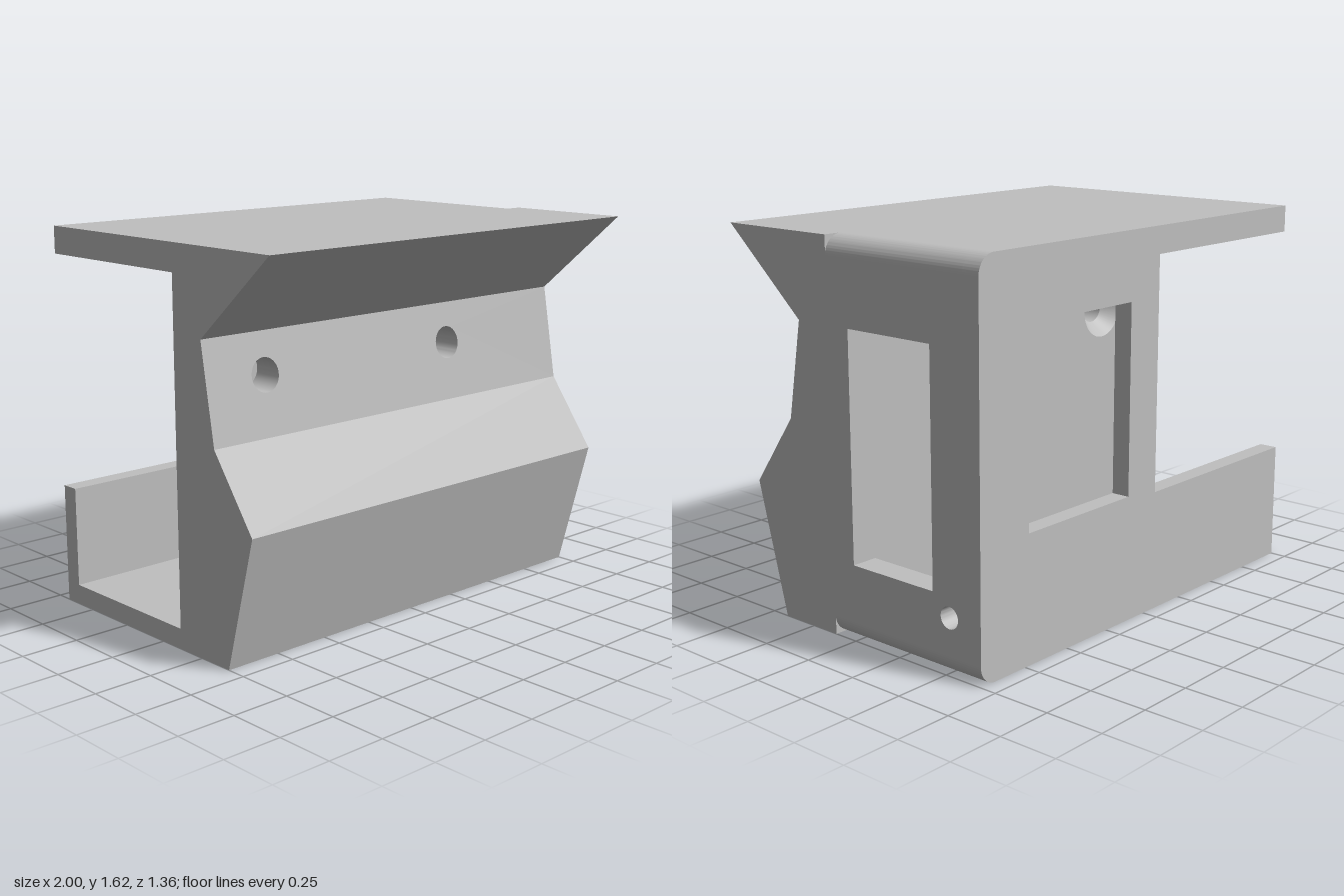
import * as THREE from 'three';
import { toCreasedNormals } from 'three/addons/utils/BufferGeometryUtils.js';

const BACK = -0.68, INNER_BACK = -0.6, INNER_FRONT = 0.115, TOP = 1.62;
const FLOOR = 0.085, CEILING = 1.505, WALL = 0.885, R = 0.08;

const poly = (pts) => new THREE.Shape(pts.map(([x, y]) => new THREE.Vector2(x, y)));
const rect = (x0, y0, x1, y1) => poly([[x0, y0], [x1, y0], [x1, y1], [x0, y1]]);
const circle = (x, y, r) => new THREE.Path().absarc(x, y, r, 0, Math.PI * 2);

export function createModel() {
  const group = new THREE.Group();
  const grey = new THREE.MeshStandardMaterial({ color: 0xbfbfbf });
  grey.name = 'plain grey';

  const add = (name, geometry) => {
    const mesh = new THREE.Mesh(toCreasedNormals(geometry, 0.5), grey);
    mesh.name = name;
    group.add(mesh);
  };
  const extrude = (shape, depth) =>
    new THREE.ExtrudeGeometry(shape, { depth, bevelEnabled: false, curveSegments: 24 });
  // outline in x, y swept along z
  const alongZ = (name, shape, z0, z1) => add(name, extrude(shape, z1 - z0).translate(0, 0, z0));
  // outline in -z, y swept along x
  const alongX = (name, shape, x0, x1) =>
    add(name, extrude(shape, x1 - x0).rotateY(Math.PI / 2).translate(x0, 0, 0));

  // floor with a rounded left edge
  const floor = new THREE.Shape();
  floor.moveTo(-1, 0);
  floor.lineTo(1 - R, 0);
  floor.absarc(1 - R, R, R, -Math.PI / 2, 0);
  floor.lineTo(1, FLOOR);
  floor.lineTo(-1, FLOOR);
  alongZ('floor', floor, INNER_BACK, INNER_FRONT);

  // roof with a rounded left edge and a shallow recess underneath
  const roof = new THREE.Shape();
  roof.moveTo(-1, CEILING);
  roof.lineTo(-0.8, CEILING);
  roof.lineTo(-0.8, CEILING + 0.05);
  roof.lineTo(-0.33, CEILING + 0.05);
  roof.lineTo(-0.33, CEILING);
  roof.lineTo(1, CEILING);
  roof.lineTo(1, TOP - R);
  roof.absarc(1 - R, TOP - R, R, 0, Math.PI / 2);
  roof.lineTo(-1, TOP);
  alongZ('roof', roof, INNER_BACK, INNER_FRONT);

  // back wall: window, and an opening running out to the right side
  const back = new THREE.Shape();
  back.moveTo(-1, 0);
  back.lineTo(1 - R, 0);
  back.absarc(1 - R, R, R, -Math.PI / 2, 0);
  back.lineTo(1, TOP - R);
  back.absarc(1 - R, TOP - R, R, 0, Math.PI / 2);
  back.lineTo(-1, TOP);
  back.lineTo(-1, CEILING);
  back.lineTo(-0.067, CEILING);
  back.lineTo(-0.067, 0.513);
  back.lineTo(-1, 0.513);
  back.holes.push(rect(0.115, 0.535, 0.73, 1.335));
  alongZ('backWall', back, BACK, INNER_BACK);

  // left wall with tall window and small round hole
  const side = rect(-INNER_FRONT, FLOOR, -INNER_BACK, CEILING);
  side.holes.push(rect(0, 0.32, 0.435, 1.27), circle(0.52, 0.235, 0.045));
  alongX('leftWall', side, WALL, 1);

  // inside fillet between floor and left wall, smaller beside the round hole
  for (const [z0, z1, r] of [[INNER_BACK, -0.565, 0.16], [-0.565, -0.475, 0.105], [-0.475, INNER_FRONT, 0.16]]) {
    const fillet = new THREE.Shape();
    fillet.moveTo(WALL, FLOOR);
    fillet.lineTo(WALL, FLOOR + r);
    fillet.absarc(WALL - r, FLOOR + r, r, 0, -Math.PI / 2, true);
    alongZ('innerFillet', fillet, z0, z1);
  }

  // faceted front, lower and upper bands
  alongX('lowerFront', poly([[-0.415, 0], [-INNER_FRONT, 0], [-INNER_FRONT, 0.86], [-0.35, 0.86], [-0.565, 0.56]]), -1, 1);
  alongX('upperFront', poly([[-0.28, 1.27], [-INNER_FRONT, 1.27], [-INNER_FRONT, TOP], [-0.68, TOP]]), -1, 1);

  // middle front band: sloped face, two screw holes countersunk from inside
  const slope = (y) => 0.35 - 0.07 * (y - 0.86) / 0.41;
  const band = (name, back, front, r0, r1) => {
    const shape = rect(-1, 0.86, 1, 1.27);
    const centres = [-0.71, 0.315];
    centres.forEach((x) => shape.holes.push(circle(x, 1.1, r0)));
    const geometry = extrude(shape, 1);
    const p = geometry.attributes.position;
    for (let i = 0; i < p.count; i++) {
      let x = p.getX(i), y = p.getY(i);
      const isFront = p.getZ(i) > 0.5;
      const c = centres.find((cx) => Math.hypot(x - cx, y - 1.1) < r0 + 0.001);
      if (isFront && c !== undefined) {
        x = c + (x - c) * r1 / r0;
        y = 1.1 + (y - 1.1) * r1 / r0;
      }
      p.setXYZ(i, x, y, isFront ? front(y) : back);
    }
    add(name, geometry);
  };
  band('countersunkFront', INNER_FRONT, () => 0.18, 0.13, 0.068);
  band('middleFront', 0.18, slope, 0.068, 0.068);

  return group;
}
